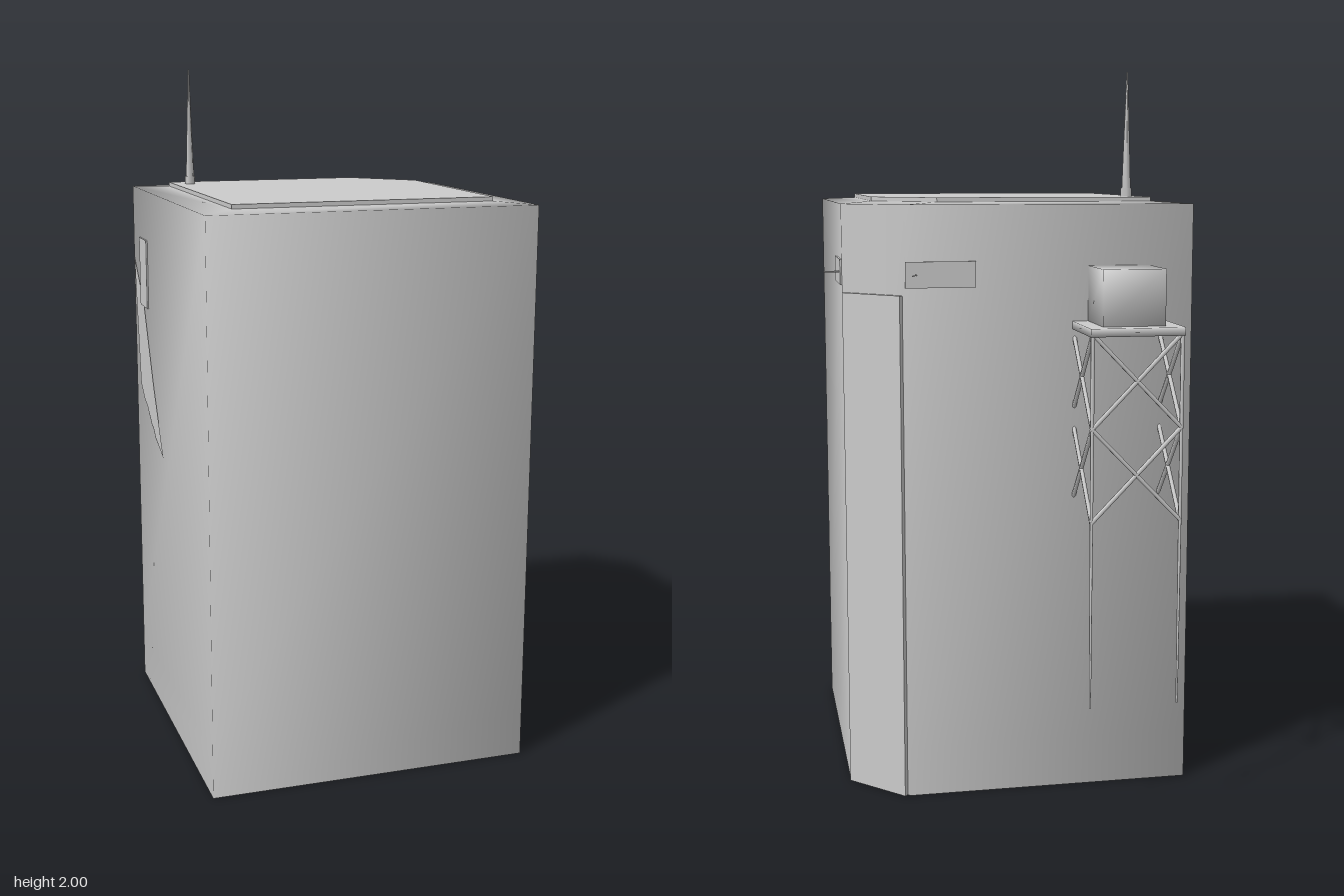
import * as THREE from 'three';
import { mergeVertices } from 'three/addons/utils/BufferGeometryUtils.js';

const material = new THREE.MeshStandardMaterial({ color: 0xcccccc, side: THREE.DoubleSide });

function add(parent, geometry, name) {
  const mesh = new THREE.Mesh(geometry, material);
  mesh.name = name;
  parent.add(mesh);
  return mesh;
}

// Shared corners give soft shading across the edges
function soften(geometry) {
  geometry.deleteAttribute('normal');
  geometry.deleteAttribute('uv');
  const merged = mergeVertices(geometry);
  merged.computeVertexNormals();
  return merged;
}

// Rod between two points
function rod(parent, a, b, r0, r1, name, sides = 6) {
  const dir = b.clone().sub(a);
  const mesh = add(parent, new THREE.CylinderGeometry(r1, r0, dir.length(), sides), name);
  mesh.position.copy(a).addScaledVector(dir, 0.5);
  mesh.quaternion.setFromUnitVectors(new THREE.Vector3(0, 1, 0), dir.normalize());
}

// Loft through rings of equal corner count, closing the last ring
function loft(rings) {
  const n = rings[0].length;
  const index = [];
  for (let r = 0; r < rings.length - 1; r++) {
    for (let i = 0; i < n; i++) {
      const a = r * n + i, b = r * n + (i + 1) % n;
      index.push(a, b, b + n, a, b + n, a + n);
    }
  }
  const last = (rings.length - 1) * n;
  for (let i = 1; i < n - 1; i++) index.push(last, last + i, last + i + 1);
  const g = new THREE.BufferGeometry();
  g.setAttribute('position', new THREE.Float32BufferAttribute(rings.flat(2), 3));
  g.setIndex(index);
  g.computeVertexNormals();
  return g;
}

// Group lying on a wall: local x along it, local z outward
function wallFrame(parent, x, z, angle, name) {
  const frame = new THREE.Group();
  frame.name = name;
  frame.position.set(x, 0, z);
  frame.rotation.y = angle;
  parent.add(frame);
  return frame;
}

function plate(frame, s0, s1, y0, y1, name) {
  const mesh = add(frame, new THREE.BoxGeometry(s1 - s0, y1 - y0, 0.01), name);
  mesh.position.set((s0 + s1) / 2, (y0 + y1) / 2, 0);
}

export function createModel() {
  const model = new THREE.Group();
  model.name = 'building';

  // Diamond-plan block with a cut back corner, open below
  const plan = [[0.045, 0.627], [0.715, -0.045], [0.155, -0.605], [-0.065, -0.605], [-0.625, -0.045]];
  const roofPlan = [[0.045, 0.49], [0.58, -0.045], [0.16, -0.47], [-0.07, -0.47], [-0.49, -0.045]];
  const ring = (outline, y) => outline.map(([x, z]) => [x, y, z]);
  add(model, loft([ring(plan, 0), ring(plan, 0.14), ring(plan, 1.64), ring(roofPlan, 1.645)]), 'walls');

  // Raised roof deck
  const deck = loft([ring(roofPlan, 1.64), ring(roofPlan, 1.657)]).toNonIndexed();
  deck.computeVertexNormals();
  add(model, deck, 'roofDeck');

  // Shallow panel on the cut corner
  const panel = add(model, new THREE.BoxGeometry(0.2, 1.4, 0.012), 'cornerPanel');
  panel.position.set(0.045, 0.7, -0.611);

  // Torn panel and small sign on the front wall
  const front = wallFrame(model, -0.625, -0.045, -Math.PI / 4, 'frontWallDetails');
  const torn = new THREE.Shape([
    [0.02, 1.42], [0.08, 1.02], [0.13, 0.98], [0.17, 0.965], [0.23, 0.92], [0.26, 0.91],
    [0.28, 0.89], [0.39, 0.85], [0.27, 1.05], [0.15, 1.29],
  ].map(([s, y]) => new THREE.Vector2(s, y)));
  add(front, new THREE.ShapeGeometry(torn), 'tornPanel').position.z = 0.004;
  plate(front, 0.106, 0.205, 1.28, 1.49, 'wallSign');

  // Plates and thin spikes either side of the cut corner
  const rightBack = wallFrame(model, 0.155, -0.605, Math.PI * 0.75, 'leftRearDetails');
  plate(rightBack, -0.19, 0, 1.42, 1.49, 'rearPlate');
  const leftBack = wallFrame(model, -0.065, -0.605, Math.PI * 1.25, 'rightRearDetails');
  plate(leftBack, 0, 0.19, 1.42, 1.49, 'rearPlate');
  for (const side of [-1, 1]) {
    rod(model, new THREE.Vector3(0.045 + side * 0.13, 1.455, -0.58),
      new THREE.Vector3(0.045 + side * 0.155, 1.455, -0.63), 0.003, 0.002, 'rearSpike', 4);
  }

  // Roof antenna
  rod(model, new THREE.Vector3(-0.4, 1.65, -0.025), new THREE.Vector3(-0.4, 2, -0.025), 0.014, 0.002, 'antenna', 5);
  rod(model, new THREE.Vector3(-0.4, 1.65, -0.025), new THREE.Vector3(-0.4, 1.68, -0.025), 0.016, 0.016, 'antennaBase', 5);

  // Tank on a braced tower
  const tower = wallFrame(model, -0.54, -0.255, Math.PI / 4, 'tower');
  add(tower, soften(new THREE.BoxGeometry(0.255, 0.022, 0.255)), 'platform').position.y = 1.314;
  add(tower, soften(new THREE.BoxGeometry(0.17, 0.15, 0.17)), 'tank').position.y = 1.4;
  const h = 0.121;
  const corners = [[-h, -h], [h, -h], [h, h], [-h, h]];
  corners.forEach(([x, z], i) => {
    const [x2, z2] = corners[(i + 1) % 4];
    rod(tower, new THREE.Vector3(x, 0.3, z), new THREE.Vector3(x, 1.31, z), 0.003, 0.006, 'leg');
    for (const y of [0.81, 1.06]) {
      rod(tower, new THREE.Vector3(x, y, z), new THREE.Vector3(x2, y + 0.25, z2), 0.006, 0.006, 'brace');
      rod(tower, new THREE.Vector3(x2, y, z2), new THREE.Vector3(x, y + 0.25, z), 0.006, 0.006, 'brace');
    }
  });
  return model;
}
